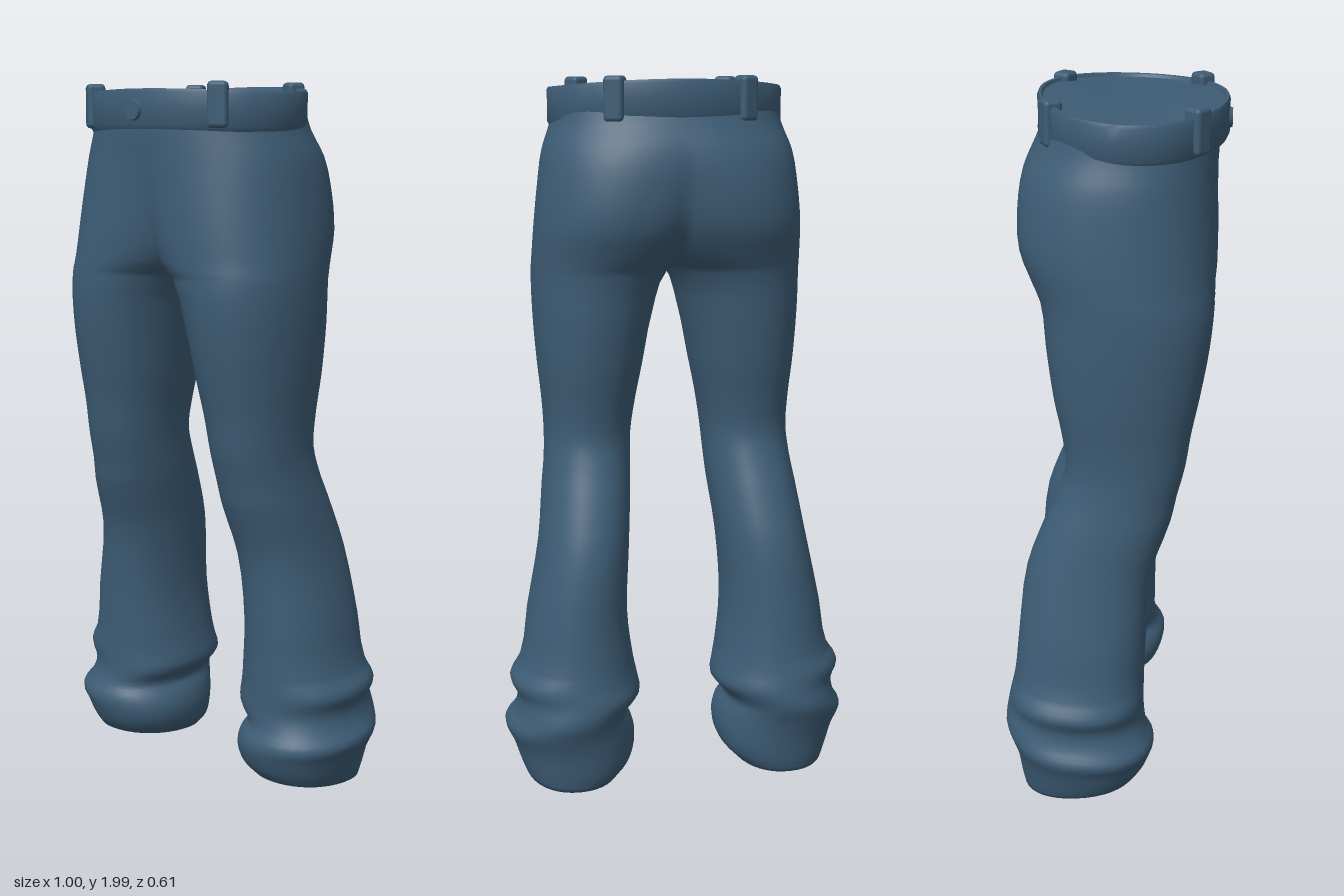
import * as THREE from 'three';
import { mergeGeometries, mergeVertices, toCreasedNormals } from 'three/addons/utils/BufferGeometryUtils.js';
import { RoundedBoxGeometry } from 'three/addons/geometries/RoundedBoxGeometry.js';

const SEGMENTS = 40;
const CROTCH = 1.47;

// One half of the trousers: height, inner x, outer x, front z, back z.
// A negative inner x means the section is cut off at the centre seam.
const SECTIONS = [
  [0.025, 0.175, 0.445, 0.08, -0.25],
  [0.06, 0.14, 0.46, 0.105, -0.26],
  [0.12, 0.125, 0.48, 0.125, -0.27],
  [0.17, 0.135, 0.5, 0.13, -0.285],
  [0.21, 0.155, 0.475, 0.11, -0.3],
  [0.26, 0.115, 0.465, 0.1, -0.295],
  [0.31, 0.12, 0.485, 0.1, -0.285],
  [0.36, 0.13, 0.455, 0.1, -0.275],
  [0.5, 0.145, 0.43, 0.105, -0.26],
  [0.7, 0.135, 0.39, 0.12, -0.235],
  [0.85, 0.12, 0.37, 0.17, -0.18],
  [0.92, 0.115, 0.36, 0.185, -0.15],
  [1.0, 0.11, 0.355, 0.205, -0.125],
  [1.1, 0.095, 0.36, 0.22, -0.135],
  [1.2, 0.075, 0.37, 0.24, -0.155],
  [1.35, 0.045, 0.38, 0.265, -0.175],
  [CROTCH, 0, 0.382, 0.275, -0.19],
  [1.52, -0.06, 0.38, 0.275, -0.215],
  [1.6, -0.11, 0.375, 0.275, -0.25],
  [1.7, -0.17, 0.365, 0.272, -0.257],
  [1.8, -0.26, 0.35, 0.272, -0.245],
  [1.87, -0.315, 0.325, 0.275, -0.215],
  [1.92, -0.315, 0.315, 0.27, -0.195],
];

// Skin a list of equal-length point rows
function loft(rows, flip = false) {
  const n = rows[0].length;
  const index = [];
  for (let i = 0; i < rows.length - 1; i++) {
    for (let j = 0; j < n - 1; j++) {
      const a = i * n + j, b = a + n, c = a + 1, d = b + 1;
      if (flip) index.push(a, c, b, b, c, d);
      else index.push(a, b, c, b, d, c);
    }
  }
  const geometry = new THREE.BufferGeometry();
  geometry.setAttribute('position', new THREE.Float32BufferAttribute(rows.flat(2), 3));
  geometry.setIndex(index);
  return geometry;
}

const power = (v, e) => Math.sign(v) * Math.abs(v) ** e;

// Slightly squared oval, opened where it meets the centre seam
function halfSection(y, xIn, xOut, zFront, zBack, scale = 1, side = 1) {
  const cx = (xIn + xOut) / 2, rx = (xOut - xIn) / 2;
  const cz = (zFront + zBack) / 2, rz = (zFront - zBack) / 2;
  const e = 0.92;
  const open = xIn <= 0 ? Math.PI - Math.acos(Math.min(1, (cx / rx) ** (1 / e))) : Math.PI;
  const hemTilt = 0.13 * Math.max(0, 1 - y / 0.15);
  const fold = 0.014 * Math.max(0, 1 - Math.abs(y - 0.25) / 0.15);
  const row = [];
  for (let j = 0; j <= SEGMENTS; j++) {
    const t = open * (2 * j / SEGMENTS - 1);
    let x = cx + scale * rx * power(Math.cos(t), e);
    if (xIn <= 0 && (j === 0 || j === SEGMENTS)) x = 0;
    const z = cz + scale * rz * power(Math.sin(t), e);
    row.push([side * x, y + hemTilt * (z - cz) - fold * Math.sin(t), z]);
  }
  return row;
}

function halfTrousers(side) {
  const spline = new THREE.CubicInterpolant(
    SECTIONS.map((s) => s[0]), SECTIONS.flatMap((s) => s.slice(1)), 4, new Float32Array(4));
  const hem = SECTIONS[0].slice(1);
  // Recessed lining that closes the leg opening
  const rows = [[0.06, 0], [0.055, 0.8], [0.03, 0.88]].map(([y, k]) => halfSection(y, ...hem, k, side));
  SECTIONS.forEach(([y], i) => {
    const next = SECTIONS[i + 1];
    const steps = next ? 3 : 1;
    for (let k = 0; k < steps; k++) {
      const h = next ? y + (next[0] - y) * k / steps : y;
      const s = [...spline.evaluate(h)];
      if (h < CROTCH) s[0] = Math.max(s[0], 0.002);
      else if (h === CROTCH) s[0] = 0;
      rows.push(halfSection(h, ...s, 1, side));
    }
  });
  return loft(rows, side < 0);
}

// Outer line of the waistband at an angle (0 = left side, 90 degrees = front)
const waist = (t, k = 1) => [0.33 * k * Math.cos(t), 0.045 + 0.255 * k * Math.sin(t)];
const waistLift = (t) => 0.008 * -Math.cos(2 * t) - 0.007 * Math.sin(t);

// Band wall, rounded rim and the closed top
function waistband() {
  const profile = [
    [1.88, 0.92], [1.872, 0.975], [1.885, 1], [1.93, 0.995], [1.968, 1],
    [1.977, 0.985], [1.976, 0.955], [1.968, 0.94], [1.967, 0.5], [1.966, 0],
  ];
  const rows = profile.map(([y, k]) => {
    const row = [];
    for (let j = 0; j <= 64; j++) {
      const t = j / 64 * Math.PI * 2;
      const [x, z] = waist(t, k);
      row.push([x, y + waistLift(t) * Math.min(1, k * 1.2), z]);
    }
    return row;
  });
  return toCreasedNormals(mergeVertices(loft(rows), 1e-5), 0.9);
}

export function createModel() {
  const model = new THREE.Group();
  model.name = 'trousers';
  const denim = new THREE.MeshStandardMaterial({ color: 0x3d5c75 });
  denim.name = 'denim blue';

  const add = (name, geometry) => {
    const mesh = new THREE.Mesh(geometry, denim);
    mesh.name = name;
    model.add(mesh);
    return mesh;
  };

  // Legs and seat, welded along the centre seam
  const body = mergeVertices(mergeGeometries([halfTrousers(1), halfTrousers(-1)]), 1e-5);
  body.computeVertexNormals();
  add('legsAndSeat', body);

  add('waistband', waistband());

  // Belt loops around the band, two in front and two behind
  for (const side of [1, -1]) {
    for (const [name, angle, y] of [['frontBeltLoop', 0.8, 1.935], ['backBeltLoop', -0.97, 1.94]]) {
      const [x, z] = waist(angle, 0.96);
      const loop = add(name, new RoundedBoxGeometry(0.055, 0.12, 0.05, 2, 0.012));
      loop.position.set(side * x, y, z);
      loop.rotation.y = side * Math.atan2(Math.cos(angle) / 0.33, Math.sin(angle) / 0.255);
    }
  }

  // Front button
  const button = add('button', new THREE.CylinderGeometry(0.025, 0.03, 0.014, 20));
  button.rotation.x = Math.PI / 2;
  button.position.set(-0.005, 1.922, 0.3);

  return model;
}
